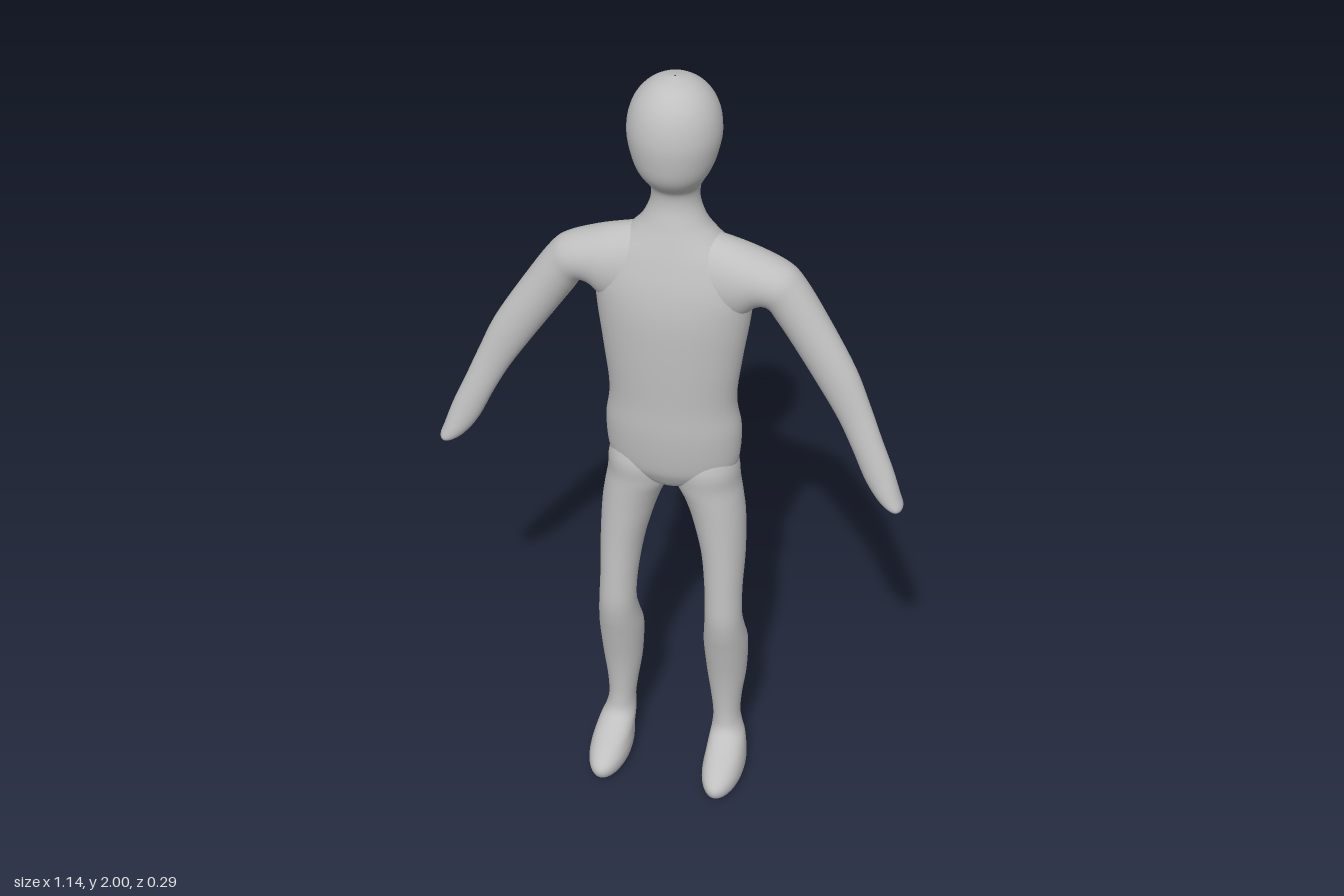
import * as THREE from 'three';

const SEG = 36, SUB = 5;

// Smooth interpolation between section rows
const spline = (a, b, c, d, t) =>
  0.5 * (2 * b + (c - a) * t + (2 * a - 5 * b + 4 * c - d) * t * t + (3 * b - a - 3 * c + d) * t * t * t);

// Each row is an elliptical section: ends of one axis (x0, y0) and (x1, y1), then back and front z
function loft(rows) {
  const fine = [], last = rows.length - 1;
  const at = (i) => rows[Math.min(last, Math.max(0, i))];
  for (let i = 0; i < last; i++)
    for (let k = 0; k < SUB; k++)
      fine.push(rows[i].map((v, c) => spline(at(i - 1)[c], v, at(i + 1)[c], at(i + 2)[c], k / SUB)));
  fine.push(rows[last]);

  const pos = [], index = [];
  for (const [x0, y0, x1, y1, zb, zf] of fine)
    for (let j = 0; j < SEG; j++) {
      const a = (j / SEG) * Math.PI * 2, c = Math.cos(a) / 2, s = Math.sin(a) / 2;
      pos.push((x0 + x1) / 2 + (x1 - x0) * c, (y0 + y1) / 2 + (y1 - y0) * c, (zb + zf) / 2 + (zf - zb) * s);
    }
  for (let i = 0; i < fine.length - 1; i++)
    for (let j = 0; j < SEG; j++) {
      const a = i * SEG + j, b = i * SEG + ((j + 1) % SEG);
      index.push(a, a + SEG, b, b, a + SEG, b + SEG);
    }
  const g = new THREE.BufferGeometry();
  g.setAttribute('position', new THREE.Float32BufferAttribute(pos, 3));
  g.setIndex(index);
  g.computeVertexNormals();
  return g;
}

// Horizontal section: y, inner x, outer x, back z, front z
const level = ([y, x0, x1, zb, zf]) => [x0, y, x1, y, zb, zf];
const mirror = ([x0, y0, x1, y1, zb, zf]) => [-x1, y1, -x0, y0, zb, zf];

// Torso, neck and head: y, half width, back z, front z
const trunk = [
  [0.885, 0.005, -0.04, -0.03], [0.905, 0.07, -0.09, 0.02], [0.94, 0.14, -0.118, 0.045],
  [0.98, 0.16, -0.126, 0.058], [1.07, 0.165, -0.13, 0.068], [1.16, 0.154, -0.117, 0.07],
  [1.28, 0.167, -0.122, 0.075], [1.4, 0.184, -0.138, 0.076], [1.48, 0.187, -0.138, 0.066],
  [1.55, 0.155, -0.128, 0.047], [1.6, 0.105, -0.112, 0.03], [1.635, 0.076, -0.102, 0.018],
  [1.68, 0.058, -0.096, 0.006], [1.72, 0.058, -0.096, 0.01], [1.75, 0.07, -0.102, 0.04],
  [1.78, 0.086, -0.115, 0.059], [1.82, 0.1, -0.13, 0.068], [1.87, 0.108, -0.14, 0.071],
  [1.92, 0.101, -0.138, 0.062], [1.96, 0.08, -0.12, 0.042], [1.988, 0.046, -0.085, 0.01],
  [2, 0.002, -0.04, -0.036],
].map(([y, w, zb, zf]) => level([y, -w, w, zb, zf]));

// Foot, shin, knee and thigh, from the sole up
const leg = [
  [0, 0.148, 0.152, 0.02, 0.03], [0.003, 0.11, 0.19, -0.075, 0.12], [0.02, 0.1, 0.2, -0.09, 0.143],
  [0.045, 0.098, 0.201, -0.092, 0.14], [0.07, 0.1, 0.197, -0.09, 0.105], [0.095, 0.101, 0.19, -0.086, 0.05],
  [0.12, 0.103, 0.18, -0.082, 0.01], [0.16, 0.104, 0.173, -0.081, 0], [0.22, 0.097, 0.176, -0.087, 0.001],
  [0.3, 0.086, 0.186, -0.098, 0.01], [0.4, 0.08, 0.191, -0.094, 0.03], [0.46, 0.085, 0.187, -0.068, 0.043],
  [0.52, 0.089, 0.182, -0.047, 0.05], [0.6, 0.086, 0.18, -0.06, 0.047], [0.7, 0.073, 0.182, -0.09, 0.042],
  [0.8, 0.048, 0.179, -0.105, 0.04], [0.86, 0.027, 0.172, -0.111, 0.041], [0.91, 0.003, 0.164, -0.116, 0.043],
  [0.97, 0.002, 0.158, -0.11, 0.045], [1.05, 0.03, 0.13, -0.08, 0.02],
].map(level);

// Shoulder, arm and hand: outer edge, inner edge, back z, front z
const arm = [
  [0.06, 1.615, 0.1, 1.36, -0.11, 0.04], [0.14, 1.592, 0.165, 1.4, -0.11, 0.036],
  [0.2, 1.57, 0.198, 1.43, -0.108, 0.028], [0.265, 1.542, 0.222, 1.432, -0.102, 0.02],
  [0.3, 1.51, 0.243, 1.4, -0.098, 0.013], [0.354, 1.43, 0.28, 1.345, -0.087, 0.011],
  [0.433, 1.3, 0.348, 1.245, -0.062, 0.015], [0.475, 1.205, 0.4, 1.165, -0.045, 0.02],
  [0.51, 1.12, 0.438, 1.095, -0.03, 0.03], [0.54, 1.05, 0.476, 1.015, -0.02, 0.04],
  [0.561, 0.99, 0.512, 0.967, -0.013, 0.048], [0.571, 0.96, 0.543, 0.946, -0.003, 0.046],
  [0.566, 0.943, 0.563, 0.942, 0.018, 0.024],
];

export function createModel() {
  const model = new THREE.Group();
  const skin = new THREE.MeshStandardMaterial({ color: 0xc0c0c0 });
  skin.name = 'plain grey';
  const add = (name, rows) => {
    const mesh = new THREE.Mesh(loft(rows), skin);
    mesh.name = name;
    model.add(mesh);
  };

  add('headAndTorso', trunk);
  add('leftLeg', leg);
  add('rightLeg', leg.map(mirror));
  add('leftArm', arm);
  add('rightArm', arm.map(mirror));
  return model;
}
